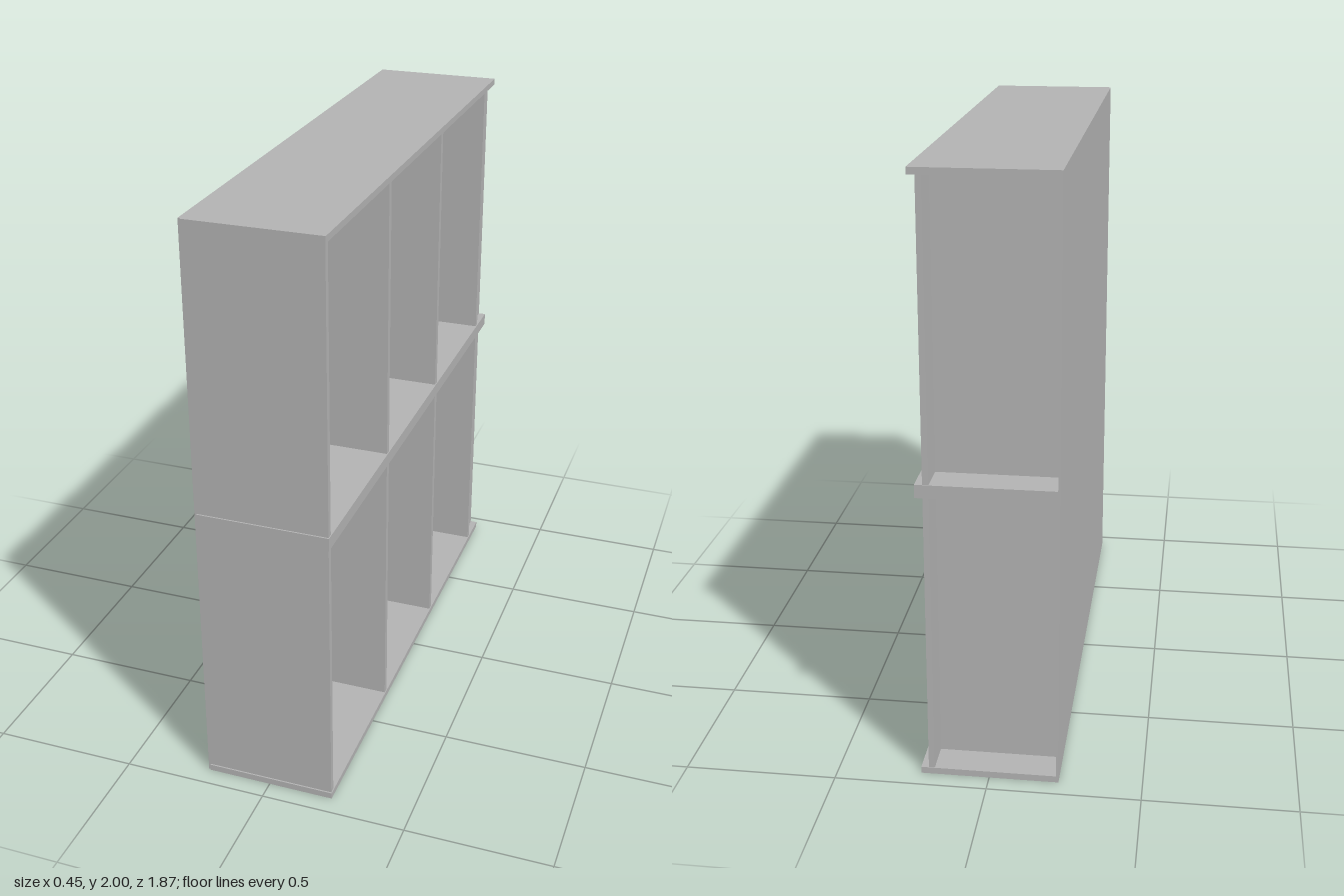
import * as THREE from 'three';

const grey = new THREE.MeshStandardMaterial({ color: 0xb2b2b2 });
grey.name = 'grey';

// Box given by its min and max along each axis
function board(name, [x0, x1], [y0, y1], [z0, z1]) {
  const mesh = new THREE.Mesh(new THREE.BoxGeometry(x1 - x0, y1 - y0, z1 - z0), grey);
  mesh.name = name;
  mesh.position.set((x0 + x1) / 2, (y0 + y1) / 2, (z0 + z1) / 2);
  return mesh;
}

// One row of compartments, open towards +x, one unit tall
function createTier(name) {
  const tier = new THREE.Group();
  tier.name = name;
  const t = 0.022, depth = [-0.22, 0.225], inner = [t, 1 - t];

  // Horizontal boards
  tier.add(board('bottomBoard', depth, [0, t], [-0.935, 0.935]));
  tier.add(board('topBoard', depth, [1 - t, 1], [-0.935, 0.935]));

  // End wall and dividers
  tier.add(board('endWall', [-0.22, 0.222], inner, [0.91, 0.93]));
  for (const z of [0.345, -0.23, -0.81]) {
    tier.add(board('divider', [-0.22, 0.222], inner, [z - 0.011, z + 0.011]));
  }

  // Recessed panel closing the narrow end bay, which opens towards -z
  tier.add(board('recessedPanel', [0.18, 0.2], inner, [-0.932, -0.821]));
  return tier;
}

export function createModel() {
  const model = new THREE.Group();
  model.name = 'shelfUnit';

  // Two stacked tiers
  const lower = createTier('lowerTier');
  const upper = createTier('upperTier');
  upper.position.y = 1;
  model.add(lower, upper);

  // Full-height back panel
  model.add(board('backPanel', [-0.228, -0.22], [0, 2], [-0.935, 0.93]));
  return model;
}
